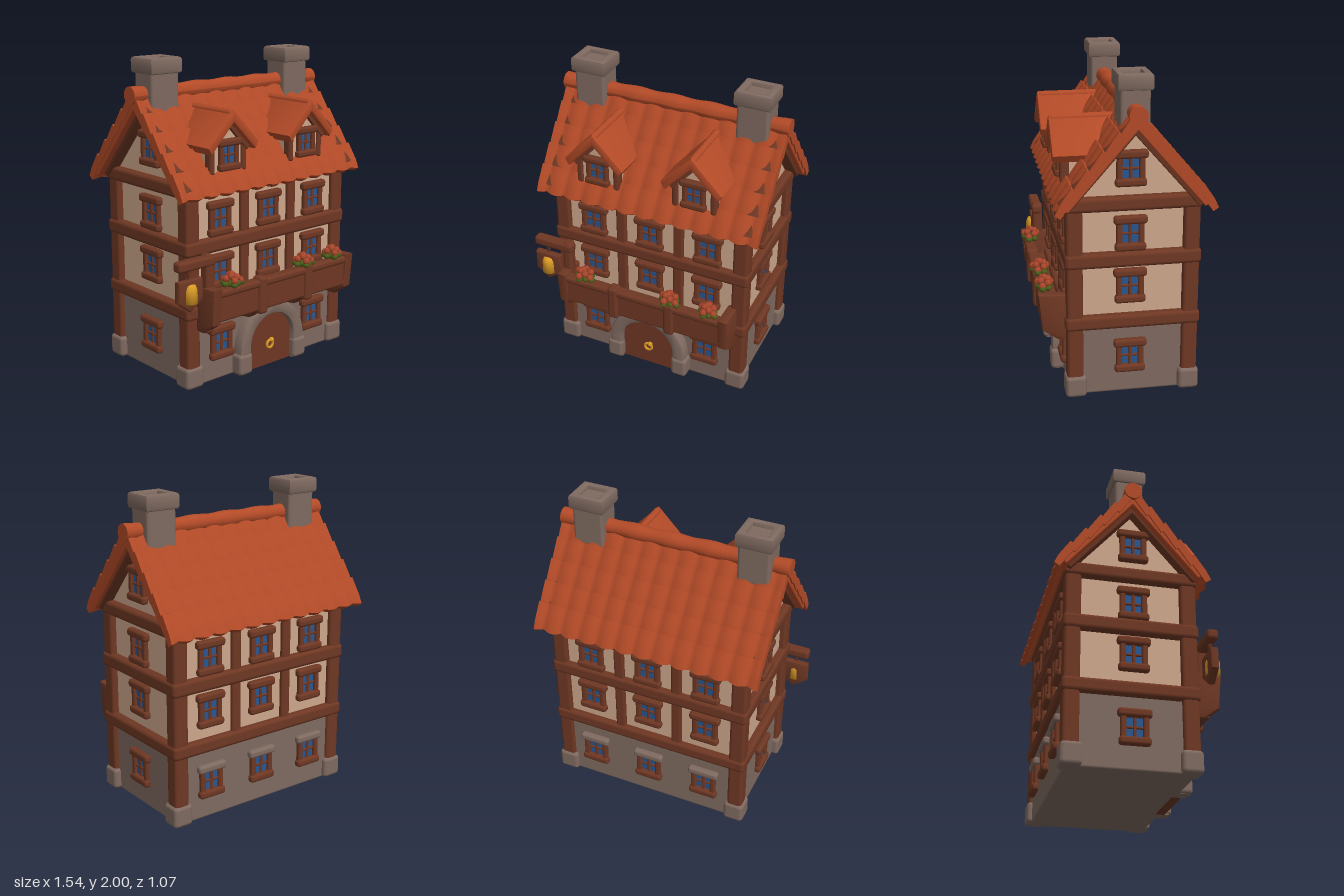
import * as THREE from 'three';
import { toCreasedNormals } from 'three/addons/utils/BufferGeometryUtils.js';
import { RoundedBoxGeometry } from 'three/addons/geometries/RoundedBoxGeometry.js';

const mat = (name, color) => Object.assign(new THREE.MeshStandardMaterial({ color }), { name });

export function createModel() {
  const root = new THREE.Group();
  root.name = 'timberHouse';
  const wood = mat('wood', 0x6e3723), stone = mat('stone', 0x7f6a60), plaster = mat('plaster', 0xcda78c);
  const tile = mat('roofTile', 0xb24a27), glass = mat('glass', 0x28568f), gold = mat('gold', 0xd99a25);
  const petal = mat('petal', 0xa8452a), leaf = mat('leaf', 0x4c5f1a);
  const CX = 0.025, CZ = -0.045;

  const add = (name, geo, m, x = 0, y = 0, z = 0, parent = root) => {
    const mesh = new THREE.Mesh(geo, m);
    mesh.name = name;
    mesh.position.set(x, y, z);
    parent.add(mesh);
    return mesh;
  };
  const box = (name, m, w, h, d, x, y, z, parent, r = 0.015) =>
    add(name, new RoundedBoxGeometry(w, h, d, 2, Math.min(r, w / 2.1, h / 2.1, d / 2.1)), m, x, y, z, parent);
  const shapeOf = pts => new THREE.Shape(pts.map(p => new THREE.Vector2(...p)));
  const extrude = (shape, depth, bevel = 0) => toCreasedNormals(new THREE.ExtrudeGeometry(shape, {
    depth: depth - 2 * bevel, bevelEnabled: bevel > 0, bevelSize: bevel, bevelThickness: bevel,
    bevelOffset: -bevel, bevelSegments: 2, curveSegments: 16,
  }).translate(0, 0, bevel), 0.7);
  // profile drawn in (z, y), extruded along x and centred on it
  const extrudeX = (pts, w, bevel) => extrude(shapeOf(pts), w, bevel).translate(0, 0, -w / 2).rotateY(-Math.PI / 2);

  // walls
  box('groundFloor', stone, 1.27, 0.5, 0.77, CX, 0.25, CZ);
  add('upperWalls', extrudeX([[-0.375, 0.45], [0.375, 0.45], [0.375, 1.25], [0, 1.69], [-0.375, 1.25]], 1.25), plaster, CX, 0, CZ);

  // timber frame
  for (const [y, h] of [[0.488, 0.09], [0.89, 0.095], [1.24, 0.09]])
    box('floorBeam', wood, 1.35, h, 0.83, CX, y, CZ, root, 0.025);
  for (const sx of [-1, 1]) for (const sz of [-1, 1]) {
    box('cornerPost', wood, 0.1, 1.24, 0.1, CX + sx * 0.615, 0.63, CZ + sz * 0.355, root, 0.02);
    box('cornerStone', stone, 0.135, 0.14, 0.13, CX + sx * 0.612, 0.07, CZ + sz * 0.352, root, 0.025);
  }
  for (const sz of [-1, 1]) for (const sx of [-1, 1])
    box('wallStud', wood, 0.068, 0.74, 0.06, CX + sx * 0.198, 0.86, CZ + sz * 0.37);
  for (const sx of [-1, 1])
    add('gableRafter', extrudeX([[0, 1.78], [0.45, 1.265], [0.38, 1.22], [0, 1.655], [-0.38, 1.22], [-0.45, 1.265]], 0.08, 0.012),
      wood, CX + sx * 0.66, 0, CZ);

  // windows, built facing +z on the wall plane
  const windowUnit = (x, y, z, turn = 0, lintel = wood, s = 1) => {
    const g = new THREE.Group();
    g.name = 'window';
    g.position.set(x, y, z);
    g.rotation.y = turn;
    g.scale.set(s, s, 1);
    add('panes', new THREE.BoxGeometry(0.13, 0.15, 0.008), glass, 0, 0, 0.004, g);
    box('lintel', lintel, 0.205, 0.052, 0.05, 0, 0.085, 0.015, g, 0.018);
    box('sill', wood, 0.19, 0.05, 0.05, 0, -0.085, 0.015, g, 0.018);
    for (const s2 of [-1, 1]) box('jamb', wood, 0.036, 0.15, 0.036, s2 * 0.067, 0, 0.01, g, 0.012);
    box('mullion', wood, 0.02, 0.13, 0.024, 0, 0, 0.006, g, 0.008);
    box('crossbar', wood, 0.12, 0.016, 0.022, 0, -0.002, 0.006, g, 0.007);
    root.add(g);
  };
  for (const [i, y] of [0.255, 0.715, 1.05].entries()) {
    const ground = i === 0;
    for (const x of [-0.395, 0, 0.395]) {
      if (!ground || x) windowUnit(CX + x, y, ground ? 0.34 : 0.33);
      windowUnit(CX + x, y, ground ? -0.43 : -0.42, Math.PI, ground ? stone : wood);
    }
  }
  for (const y of [0.255, 0.715, 1.05, 1.45]) for (const s of [-1, 1])
    windowUnit(CX + s * (y < 0.4 ? 0.635 : 0.625), y, -0.028, s * Math.PI / 2);

  // arched doorway
  const arch = (r, spring) => {
    const s = new THREE.Shape();
    s.moveTo(-r, 0);
    s.lineTo(r, 0);
    s.lineTo(r, spring);
    s.absarc(0, spring, r, 0, Math.PI, false);
    s.lineTo(-r, 0);
    return s;
  };
  const surround = new THREE.Shape();
  surround.moveTo(0.275, 0);
  surround.lineTo(0.275, 0.16);
  surround.absarc(0, 0.16, 0.275, 0, Math.PI, false);
  surround.lineTo(-0.275, 0);
  surround.lineTo(-0.185, 0);
  surround.lineTo(-0.185, 0.17);
  surround.absarc(0, 0.17, 0.185, Math.PI, 0, true);
  surround.lineTo(0.185, 0);
  add('doorArch', extrude(surround, 0.12, 0.02), stone, 0.022, 0, 0.29);
  add('door', extrude(arch(0.195, 0.17), 0.06), wood, 0.022, 0, 0.31);
  for (const s of [-1, 1]) box('archFoot', stone, 0.11, 0.14, 0.13, 0.022 + s * 0.235, 0.07, 0.355, root, 0.025);
  add('doorKnocker', new THREE.TorusGeometry(0.026, 0.009, 8, 16), gold, 0.022, 0.14, 0.376);
  add('doorKnob', new THREE.SphereGeometry(0.017, 10, 8), gold, 0.035, 0.165, 0.377);

  // balcony
  box('balconyFloor', wood, 1.18, 0.05, 0.17, 0.03, 0.475, 0.42);
  box('balconyPanel', wood, 1.18, 0.18, 0.05, 0.03, 0.545, 0.48);
  box('balconyRail', wood, 1.2, 0.05, 0.075, 0.03, 0.63, 0.48, root, 0.02);
  for (const x of [-0.535, 0.6])
    add('balconyEnd', extrudeX([[0.33, 0.37], [0.41, 0.37], [0.505, 0.44], [0.525, 0.67], [0.33, 0.66]], 0.07, 0.015), wood, x);
  for (const x of [-0.165, 0.23]) {
    box('balconyPost', wood, 0.07, 0.24, 0.08, x, 0.55, 0.483, root, 0.02);
    add('balconyBracket', extrudeX([[0.33, 0.37], [0.4, 0.38], [0.51, 0.46], [0.33, 0.5]], 0.065, 0.012), wood, x);
  }

  // flower clumps on the rail
  for (const [x, w] of [[-0.39, 1], [0.215, 1], [0.48, 0.9]]) for (let i = 0; i < 9; i++) {
    const a = i * 2.4, r = 0.02 * Math.sqrt(i) * w;
    const px = x + Math.cos(a) * r, pz = 0.472 + Math.sin(a) * r * 0.9;
    add('flower', new THREE.IcosahedronGeometry(0.023, 1), petal, px, 0.725 - i * 0.005, pz);
    add('leaves', new THREE.IcosahedronGeometry(0.022, 1), leaf, x + Math.cos(a) * r * 1.15, 0.672, pz);
  }

  // hanging lantern
  box('lanternPost', wood, 0.06, 0.5, 0.07, -0.53, 0.62, 0.41, root, 0.02);
  box('lanternArm', wood, 0.28, 0.065, 0.07, -0.63, 0.828, 0.415, root, 0.02);
  add('lanternHook', new THREE.CylinderGeometry(0.018, 0.006, 0.06, 8), wood, -0.68, 0.775, 0.42);
  add('lanternShield', extrude(shapeOf([[-0.09, 0.74], [0.09, 0.74], [0.092, 0.61], [0, 0.54], [-0.092, 0.61]]), 0.05, 0.012),
    wood, -0.678, 0, 0.395);
  add('lanternGlow', new THREE.LatheGeometry([[0, 0.6], [0.045, 0.6], [0.043, 0.68], [0.032, 0.71], [0, 0.72]]
    .map(p => new THREE.Vector2(...p)), 20), gold, -0.678, 0, 0.433);

  // main roof: overlapping wavy tile rows on both slopes
  const tileRow = () => {
    const W = 1.49, L = 0.175, g = new THREE.BoxGeometry(W, 0.045, L, 96, 1, 3), p = g.attributes.position;
    for (let i = 0; i < p.count; i++) {
      const wave = Math.abs(Math.cos((p.getX(i) / W) * 12 * Math.PI)), t = p.getZ(i) / L + 0.5;
      if (p.getY(i) > 0) p.setY(i, p.getY(i) + 0.012 * (wave - 0.6) - (t > 0.9 ? 0.01 : 0));
      p.setZ(i, p.getZ(i) + t * 0.016 * (wave - 0.5));
    }
    return toCreasedNormals(g, 0.9);
  };
  const rowGeo = tileRow();
  for (const [name, turn] of [['frontSlope', 0], ['backSlope', Math.PI]]) {
    const side = new THREE.Group(), slope = new THREE.Group();
    side.name = name;
    side.position.set(0.018, 1.79, -0.052);
    side.rotation.y = turn;
    slope.rotation.x = 0.86;
    side.add(slope);
    root.add(side);
    box('roofBoard', tile, 1.47, 0.04, 0.68, 0, -0.045, 0.36, slope, 0.01);
    for (let i = 0; i < 5; i++)
      add('tileRow', rowGeo, tile, 0, -0.016, 0.095 + i * 0.14, slope).rotation.x = 0.11;
  }
  const ridge = new THREE.CylinderGeometry(0.052, 0.052, 1.51, 16, 72).rotateZ(Math.PI / 2), rp = ridge.attributes.position;
  for (let i = 0; i < rp.count; i++) {
    const k = 1 + 0.07 * Math.cos(rp.getX(i) * 25);
    rp.setXYZ(i, rp.getX(i), rp.getY(i) * k, rp.getZ(i) * k);
  }
  ridge.computeVertexNormals();
  add('ridgeCap', ridge, tile, 0.015, 1.78, -0.052);

  // dormers
  for (const x of [-0.318, 0.33]) {
    add('dormerWall', extrude(shapeOf([[-0.14, 1.32], [0.14, 1.32], [0.14, 1.5], [0, 1.66], [-0.14, 1.5]]), 0.33), plaster, x, 0, 0.02);
    add('dormerRoof', extrude(shapeOf([[0, 1.71], [0.2, 1.5], [0.172, 1.455], [0, 1.63], [-0.172, 1.455], [-0.2, 1.5]]), 0.42, 0.014), tile, x, 0, -0.005);
    add('dormerRidge', new THREE.CapsuleGeometry(0.024, 0.36, 4, 10).rotateX(Math.PI / 2), tile, x, 1.685, 0.205);
    add('dormerRafters', extrude(shapeOf([[0, 1.645], [0.16, 1.485], [0.14, 1.45], [0, 1.6], [-0.14, 1.45], [-0.16, 1.485]]), 0.04), wood, x, 0, 0.335);
    for (const s of [-1, 1]) box('dormerPost', wood, 0.04, 0.18, 0.06, x + s * 0.125, 1.41, 0.335);
    windowUnit(x, 1.435, 0.35, 0, wood, 0.88);
  }

  // chimneys with a recessed top
  const square = (r, hole) => {
    const s = shapeOf([[-r, -r], [r, -r], [r, r], [-r, r]]);
    if (hole) s.holes.push(new THREE.Path([[-hole, -hole], [-hole, hole], [hole, hole], [hole, -hole]].map(p => new THREE.Vector2(...p))));
    return s;
  };
  for (const x of [-0.533, 0.553]) {
    box('chimneyShaft', stone, 0.205, 0.31, 0.18, x, 1.815, -0.055, root, 0.02);
    add('chimneyCap', extrude(square(0.115, 0.065), 0.1, 0.018).rotateX(-Math.PI / 2).scale(1, 1, 0.9), stone, x, 1.9, -0.055);
  }
  return root;
}
